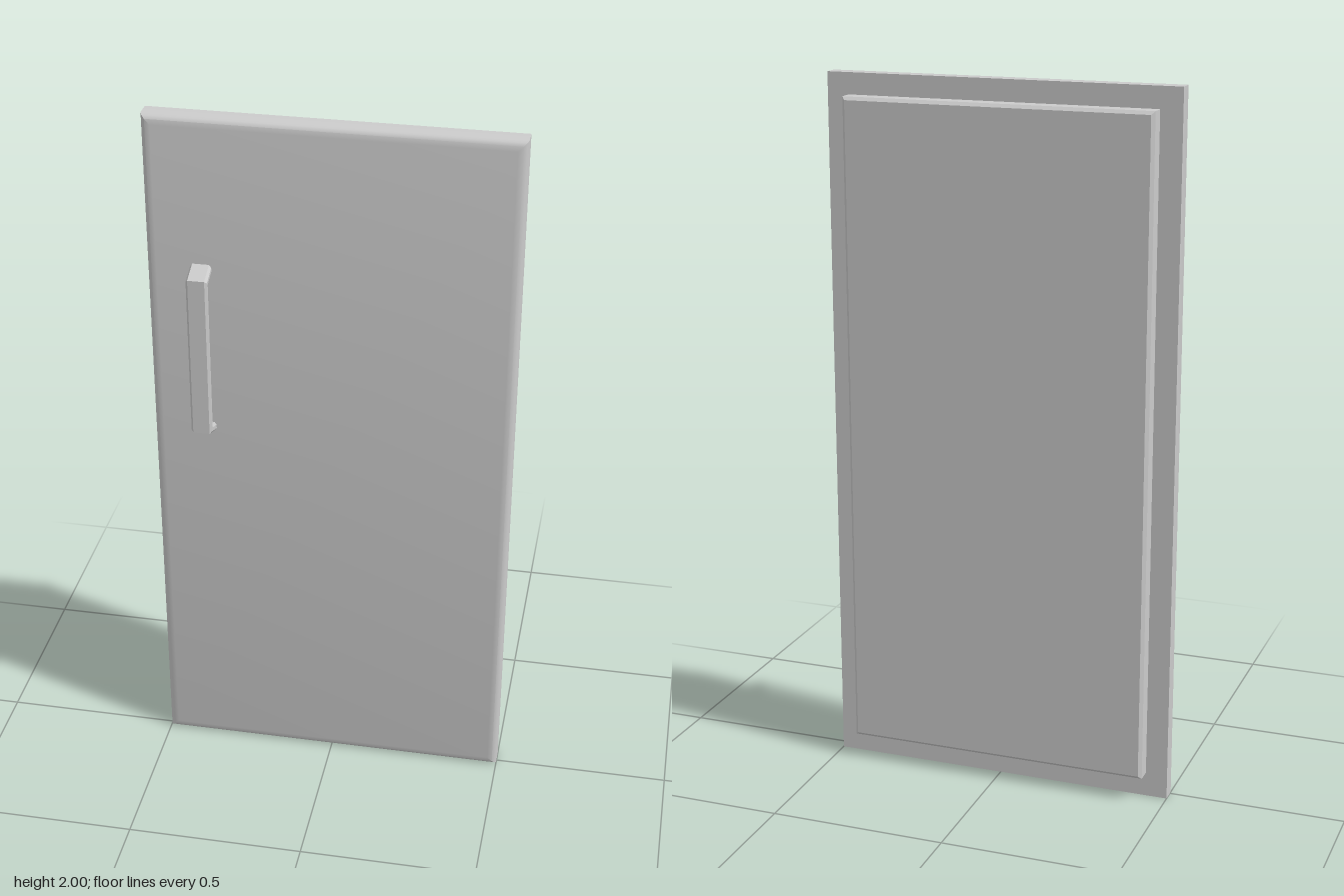
import * as THREE from 'three';
import { toCreasedNormals } from 'three/addons/utils/BufferGeometryUtils.js';

// Skin a list of equal-sized rings (counter-clockwise seen from the far end) and cap both ends
function loft(rings) {
  const pos = [];
  const n = rings[0].length;
  const tri = (...pts) => pts.forEach((p) => pos.push(...p));
  for (let i = 0; i < rings.length - 1; i++) {
    for (let j = 0; j < n; j++) {
      const k = (j + 1) % n;
      const [a, b, c, d] = [rings[i][j], rings[i][k], rings[i + 1][k], rings[i + 1][j]];
      tri(a, b, c);
      tri(a, c, d);
    }
  }
  const first = rings[0];
  const last = rings[rings.length - 1];
  for (let j = 1; j < n - 1; j++) {
    tri(first[0], first[j + 1], first[j]);
    tri(last[0], last[j], last[j + 1]);
  }
  const geometry = new THREE.BufferGeometry();
  geometry.setAttribute('position', new THREE.Float32BufferAttribute(pos, 3));
  return toCreasedNormals(geometry, 0.6);
}

// Rectangular slab whose outline shrinks along z; profile rows are [inset, z]
function slab(halfWidth, bottom, top, profile) {
  return loft(profile.map(([s, z]) => [
    [-halfWidth + s, bottom + s, z],
    [halfWidth - s, bottom + s, z],
    [halfWidth - s, top - s, z],
    [-halfWidth + s, top - s, z],
  ]));
}

// Chamfered bar bent into a pull; each station is outer and inner [height from middle, z]
function pull(x, y, halfWidth) {
  const half = [
    { outer: [0.258, 0.018], inner: [0.231, 0.018] },
    { outer: [0.233, 0.083], inner: [0.213, 0.063] },
  ];
  const flip = ({ outer, inner }) => ({ outer: [-outer[0], outer[1]], inner: [-inner[0], inner[1]] });
  const stations = [...half, ...half.map(flip).reverse()];
  const w = halfWidth;
  const c = w - 0.006;
  const section = [[-c, 0], [c, 0], [w, 0.3], [w, 0.7], [c, 1], [-c, 1], [-w, 0.7], [-w, 0.3]];
  return loft(stations.map(({ outer, inner }) => section.map(([dx, t]) => [
    x + dx,
    y + THREE.MathUtils.lerp(inner[0], outer[0], t),
    THREE.MathUtils.lerp(inner[1], outer[1], t),
  ])));
}

export function createModel() {
  const group = new THREE.Group();
  const material = new THREE.MeshStandardMaterial({ color: 0xcccccc });
  const add = (name, geometry) => {
    const mesh = new THREE.Mesh(geometry, material);
    mesh.name = name;
    group.add(mesh);
  };

  // Door panel with rounded front edges
  add('doorPanel', slab(0.5, 0, 2, [[0, -0.035], [0, 0.008], [0.004, 0.016], [0.012, 0.022], [0.026, 0.025]]));
  // Raised inner panel on the back with a small chamfer
  add('backPanel', slab(0.438, 0.07, 1.94, [[0.009, -0.086], [0, -0.077], [0, -0.034]]));
  // Pull handle on the front
  add('handle', pull(-0.352, 1.333, 0.029));

  return group;
}
